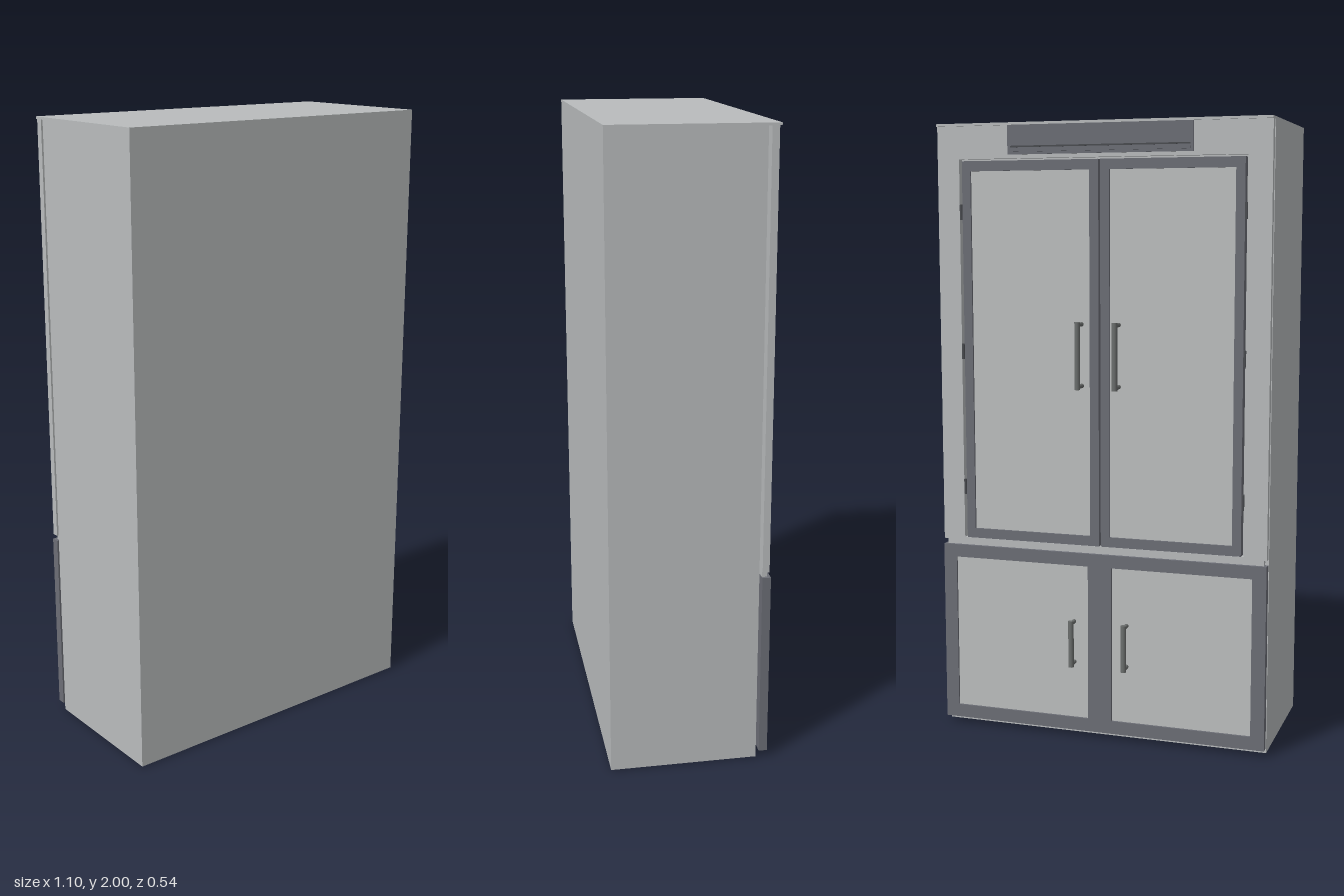
import * as THREE from 'three';

const mat = (name, color) => {
  const m = new THREE.MeshStandardMaterial({ color });
  m.name = name;
  return m;
};

export function createModel() {
  const body = mat('light grey casing', 0xb9bcbd);
  const panel = mat('pale grey panel', 0xbdbfbf);
  const frame = mat('dark grey frame', 0x6c6e76);
  const metal = mat('handle grey', 0x6b6e6d);
  const dark = mat('dark fittings', 0x4a4c50);

  const root = new THREE.Group();
  root.name = 'cabinet';

  // Box given by its two corners
  const box = (name, m, x0, x1, y0, y1, z0, z1, parent = root) => {
    const mesh = new THREE.Mesh(new THREE.BoxGeometry(x1 - x0, y1 - y0, z1 - z0), m);
    mesh.position.set((x0 + x1) / 2, (y0 + y1) / 2, (z0 + z1) / 2);
    mesh.name = name;
    parent.add(mesh);
    return mesh;
  };

  // Rectangular plate with rectangular holes; rectangles are [x0, x1, y0, y1]
  const trace = (target, [x0, x1, y0, y1]) => {
    target.moveTo(x0, y0);
    target.lineTo(x1, y0);
    target.lineTo(x1, y1);
    target.lineTo(x0, y1);
    target.closePath();
    return target;
  };
  const plate = (name, m, outer, holes, z0, z1, parent = root) => {
    const shape = trace(new THREE.Shape(), outer);
    holes.forEach((h) => shape.holes.push(trace(new THREE.Path(), h)));
    const geo = new THREE.ExtrudeGeometry(shape, { depth: z1 - z0, bevelEnabled: false });
    const mesh = new THREE.Mesh(geo, m);
    mesh.position.z = z0;
    mesh.name = name;
    parent.add(mesh);
    return mesh;
  };

  const rod = (name, m, r, length, x, y, z, parent, alongZ = false) => {
    const mesh = new THREE.Mesh(new THREE.CylinderGeometry(r, r, length, 16), m);
    mesh.position.set(x, y, z);
    if (alongZ) mesh.rotation.x = Math.PI / 2;
    mesh.name = name;
    parent.add(mesh);
  };

  // Casing and the thin top sheet reaching over the door side
  box('casing', body, -0.55, 0.55, 0.003, 1.992, -0.196, 0.272);
  box('topSheet', body, -0.55, 0.55, 1.992, 2, -0.235, 0.272);

  // Upper surround with the door opening
  plate('upperSurround', body, [-0.55, 0.55, 0.64, 1.992],
    [[-0.475, 0.475, 0.648, 1.888]], -0.228, -0.206);
  box('middleRail', body, -0.54, 0.54, 0.622, 0.64, -0.222, -0.206);

  // Lower door frame
  plate('lowerFrame', frame, [-0.55, 0.55, 0.022, 0.622],
    [[-0.505, -0.04, 0.065, 0.58], [0.04, 0.505, 0.065, 0.58]], -0.233, -0.206);

  // Ventilation strip with slot and lip
  const vent = new THREE.Group();
  vent.name = 'ventStrip';
  root.add(vent);
  box('ventPlate', frame, -0.305, 0.305, 1.9, 1.992, -0.233, -0.228, vent);
  box('ventSlot', dark, -0.295, 0.295, 1.922, 1.927, -0.2345, -0.233, vent);
  box('ventLip', frame, -0.295, 0.295, 1.908, 1.916, -0.238, -0.233, vent);

  // Bar handle on two posts
  const handle = (name, x, y0, y1, zBase, zBar) => {
    const g = new THREE.Group();
    g.name = name;
    root.add(g);
    rod('bar', metal, 0.009, y1 - y0, x, (y0 + y1) / 2, zBar, g);
    for (const y of [y0 + 0.009, y1 - 0.009])
      rod('post', metal, 0.007, zBase - zBar, x, y, (zBase + zBar) / 2, g, true);
  };

  for (const s of [-1, 1]) {
    const side = s > 0 ? 'left' : 'right';
    const span = (a, b) => (s > 0 ? [a, b] : [-b, -a]);

    // Upper door: frame, panel, hinges and handle
    plate(side + 'UpperDoorFrame', frame, [...span(0.003, 0.466), 0.648, 1.882],
      [[...span(0.033, 0.437), 0.68, 1.85]], -0.227, -0.197);
    box(side + 'UpperDoorPanel', panel, ...span(0.033, 0.437), 0.68, 1.85, -0.22, -0.2);
    for (const y of [0.82, 1.27, 1.72])
      rod(side + 'Hinge', dark, 0.006, 0.05, s * 0.471, y, -0.224, root);
    handle(side + 'UpperHandle', s * 0.062, 1.16, 1.375, -0.22, -0.263);

    // Lower door panel and handle
    box(side + 'LowerDoorPanel', panel, ...span(0.04, 0.505), 0.065, 0.58, -0.226, -0.206);
    handle(side + 'LowerHandle', s * 0.09, 0.245, 0.4, -0.22, -0.258);

    // Flat feet
    for (const z of [-0.14, 0.215])
      rod(side + 'Foot', dark, 0.022, 0.004, s * 0.48, 0.002, z, root);
  }

  return root;
}
